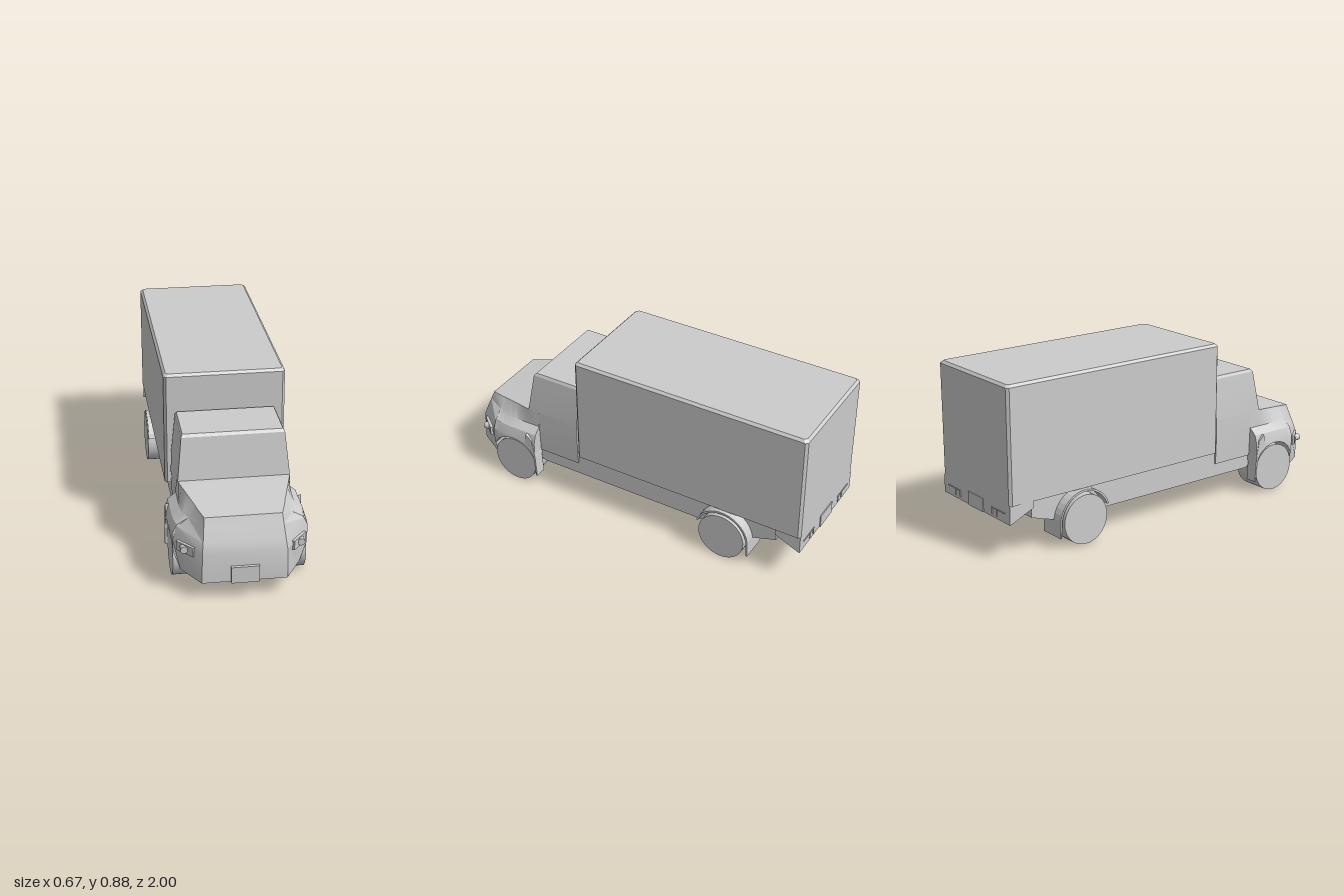
import * as THREE from 'three';
import { toCreasedNormals } from 'three/addons/utils/BufferGeometryUtils.js';

const material = new THREE.MeshStandardMaterial({ color: 0xcccccc, side: THREE.DoubleSide });

// Skin a series of closed rings (even point count) and close both ends.
function loft(rings, crease = 0.4) {
  const pos = [], n = rings[0].length;
  const quad = (a, b, c, d) => [a, b, c, a, c, d].forEach((p) => pos.push(...p));
  for (let r = 0; r < rings.length - 1; r++) {
    for (let i = 0; i < n; i++) {
      const j = (i + 1) % n;
      quad(rings[r][i], rings[r][j], rings[r + 1][j], rings[r + 1][i]);
    }
  }
  const s = rings[0], e = rings[rings.length - 1];
  for (let i = 0; i < n / 2 - 1; i++) {
    const k = n - 1 - i;
    quad(e[i], e[i + 1], e[k - 1], e[k]);
    quad(s[k], s[k - 1], s[i + 1], s[i]);
  }
  const geo = new THREE.BufferGeometry();
  geo.setAttribute('position', new THREE.Float32BufferAttribute(pos, 3));
  geo.computeVertexNormals();
  return toCreasedNormals(geo, crease);
}

// Extrude a side profile of [z, y] points between two x positions.
function sideProfile(points, x0, x1) {
  const shape = new THREE.Shape(points.map(([z, y]) => new THREE.Vector2(z, y)));
  const geo = new THREE.ExtrudeGeometry(shape, { depth: x1 - x0, bevelEnabled: false });
  return geo.rotateY(-Math.PI / 2).translate(x1, 0, 0);
}

// Box given by its minimum and maximum corners.
function block(x0, x1, y0, y1, z0, z1) {
  return new THREE.BoxGeometry(x1 - x0, y1 - y0, z1 - z0)
    .translate((x0 + x1) / 2, (y0 + y1) / 2, (z0 + z1) / 2);
}

export function createModel() {
  const truck = new THREE.Group();
  const add = (name, geo, parent = truck) => {
    const mesh = new THREE.Mesh(geo, material);
    mesh.name = name;
    parent.add(mesh);
    return mesh;
  };

  // Cargo box with chamfered upright and roof edges
  const c = 0.013;
  const boxRing = (y, inset) => {
    const x = 0.305 - inset, f = 0.302 - inset, b = -0.995 + inset;
    return [[-x + c, y, f], [x - c, y, f], [x, y, f - c], [x, y, b + c],
      [x - c, y, b], [-x + c, y, b], [-x, y, b + c], [-x, y, f - c]];
  };
  add('cargoBox', loft([boxRing(0.285, 0), boxRing(0.863, 0), boxRing(0.876, c)]));
  add('cargoTail', sideProfile(
    [[-0.86, 0.286], [-0.86, 0.25], [-0.995, 0.19], [-0.995, 0.286]], -0.3, 0.3));

  // Chassis, front underbody and the link between cab and box
  add('chassis', sideProfile([[0.57, 0.15], [0.54, 0.14], [-0.7, 0.138], [-0.85, 0.185],
    [-0.85, 0.287], [0.33, 0.287], [0.33, 0.215], [0.57, 0.215]], -0.265, 0.265));
  add('frontUnderbody', block(-0.17, 0.17, 0.12, 0.3, 0.55, 0.86));
  add('cabLink', block(-0.24, 0.24, 0.28, 0.65, 0.29, 0.33));

  // Cab: [y, half width, front z]
  const cabLayers = [[0.21, 0.272, 0.565], [0.36, 0.277, 0.565], [0.45, 0.275, 0.57],
    [0.455, 0.275, 0.625], [0.67, 0.253, 0.592], [0.684, 0.245, 0.58]];
  add('cab', loft(cabLayers.map(([y, x, z]) =>
    [[-x, y, z], [x, y, z], [x, y, 0.32], [-x, y, 0.32]])));

  // Hood, fenders and front corners: half sections from hood edge to sill
  const section = (half, z) => {
    const right = half.map(([x, y, pz]) => [x, y, pz ?? z]).reverse();
    return [...right, ...right.map(([x, y, pz]) => [-x, y, pz]).reverse()];
  };
  const wheelR = 0.128, frontZ = 0.695, rearZ = -0.57;
  const archY = (z) => wheelR + Math.sqrt(Math.max(0, 0.145 ** 2 - (z - frontZ) ** 2));
  const noseRows = [0.56, 0.59, 0.63, 0.665, 0.695, 0.73, 0.77, 0.8, 0.828].map((z) => {
    const t = Math.max(0, (z - 0.625) / 0.295);
    const front = Math.max(0, (z - 0.75) / 0.08);
    return section([[0.275 - 0.09 * t, 0.455 - 0.045 * t], [0.279 - 0.03 * front, 0.365],
      [0.318 - 0.014 * front, 0.332], [0.333 - 0.006 * front, 0.285],
      [0.335 - 0.012 * front, archY(z)]], z);
  });
  noseRows.push(
    section([[0.213, 0.423], [0.249, 0.365], [0.302, 0.325], [0.325, 0.25], [0.29, 0.09]], 0.834),
    section([[0.185, 0.41, 0.92], [0.19, 0.36, 0.94], [0.196, 0.3, 0.965],
      [0.202, 0.25, 0.983], [0.205, 0.2, 0.99], ].slice(0, 4).concat([[0.205, 0.095, 0.985]])));
  add('hoodAndFenders', loft(noseRows, 0.45));

  // Number plates without lettering
  add('frontPlate', block(-0.067, 0.067, 0.093, 0.178, 0.98, 1));
  add('rearPlate', block(-0.067, 0.067, 0.19, 0.26, -1, -0.99));

  for (const side of [1, -1]) {
    const x = (a, b) => (side > 0 ? [a, b] : [-b, -a]);

    // Wheels: tyre and narrower inner hub
    for (const [name, z] of [['frontWheel', frontZ], ['rearWheel', rearZ]]) {
      const wheel = new THREE.Group();
      wheel.name = name;
      wheel.position.set(side * 0.252, wheelR, z);
      truck.add(wheel);
      add('tyre', new THREE.CylinderGeometry(wheelR, wheelR, 0.145, 40).rotateZ(Math.PI / 2), wheel);
    }

    // Rear wheel arch band running into a mud flap
    const band = [];
    const steps = 14, a0 = 0.35, a1 = 3.0;
    for (let i = 0; i <= steps; i++) {
      const a = a0 + ((a1 - a0) * i) / steps;
      band.push([rearZ + 0.152 * Math.cos(a), wheelR + 0.155 * Math.sin(a)]);
    }
    band.push([-0.722, 0.06], [-0.714, 0.06]);
    for (let i = steps; i >= 0; i--) {
      const a = a0 + ((a1 - a0) * i) / steps;
      band.push([rearZ + 0.142 * Math.cos(a), wheelR + 0.144 * Math.sin(a)]);
    }
    add('rearWheelArch', sideProfile(band, ...x(0.178, 0.322)));

    // Front mud flap
    add('frontMudFlap', sideProfile([[0.61, 0.33], [0.575, 0.3], [0.558, 0.2], [0.55, 0.075],
      [0.558, 0.075], [0.568, 0.19], [0.59, 0.25], [0.62, 0.27]], ...x(0.272, 0.336)));

    // Headlight housing on the angled corner, with a forward lamp
    const light = new THREE.Group();
    light.name = 'headlight';
    light.position.set(side * 0.27, 0.243, 0.9);
    truck.add(light);
    const housing = add('housing', new THREE.BoxGeometry(0.11, 0.048, 0.02), light);
    housing.rotation.y = side * 0.86;
    const lamp = add('lamp', new THREE.CylinderGeometry(0.018, 0.018, 0.035, 20).rotateX(Math.PI / 2), light);
    lamp.position.set(side * 0.01, 0.002, 0.005);

    // Tail light bar with two short brackets
    const tail = new THREE.Group();
    tail.name = 'tailLight';
    truck.add(tail);
    add('bar', block(...x(0.14, 0.26), 0.238, 0.242, -0.999, -0.99), tail);
    for (const bx of [0.145, 0.185]) {
      add('bracket', block(...x(bx, bx + 0.004), 0.205, 0.24, -0.999, -0.99), tail);
    }
  }
  return truck;
}
